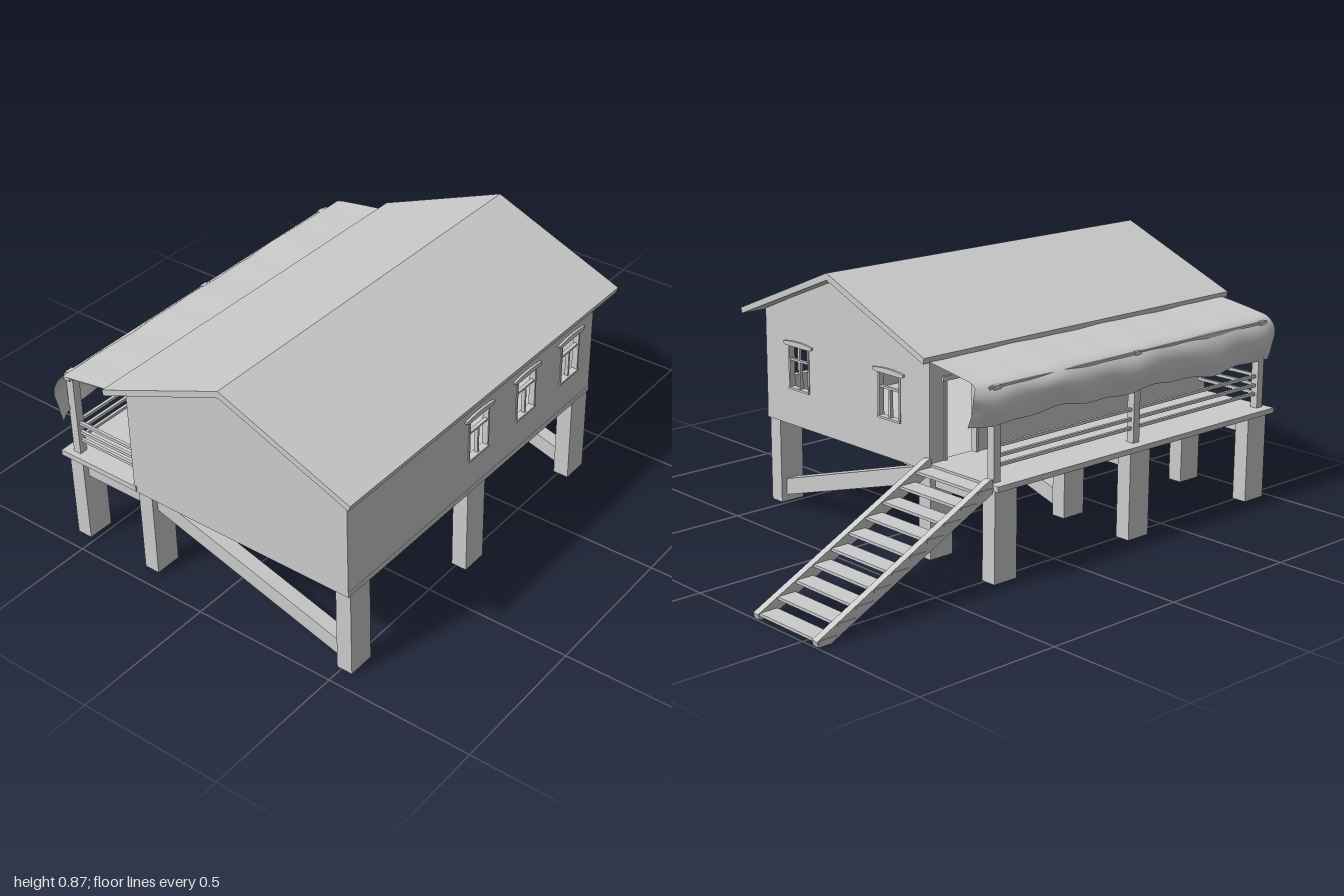
import * as THREE from 'three';

const mat = new THREE.MeshStandardMaterial({ color: 0xcccccc, side: THREE.DoubleSide });

function add(parent, name, geo, x = 0, y = 0, z = 0) {
  const m = new THREE.Mesh(geo, mat);
  m.name = name;
  m.position.set(x, y, z);
  parent.add(m);
  return m;
}

// Box given by its min and max on each axis
function span(parent, name, x0, x1, y0, y1, z0, z1) {
  return add(parent, name, new THREE.BoxGeometry(x1 - x0, y1 - y0, z1 - z0),
    (x0 + x1) / 2, (y0 + y1) / 2, (z0 + z1) / 2);
}

function polygon(points) {
  return new THREE.Shape(points.map(p => new THREE.Vector2(...p)));
}

function extrude(shape, depth) {
  return new THREE.ExtrudeGeometry(shape, { depth, bevelEnabled: false, curveSegments: 6 });
}

// Outline in (-z, y), extruded along +x from x0 to x1
function sideExtrude(parent, name, points, x0, x1, holes = []) {
  const shape = polygon(points.map(([z, y]) => [-z, y]));
  shape.holes.push(...holes);
  const m = add(parent, name, extrude(shape, x1 - x0), x0, 0, 0);
  m.rotation.y = Math.PI / 2;
  return m;
}

function hole(cx, y0, w, h) {
  return polygon([[cx - w / 2, y0], [cx - w / 2, y0 + h], [cx + w / 2, y0 + h], [cx + w / 2, y0]]);
}

const X0 = -0.955, X1 = 0.33, Z0 = -0.283, Z1 = 0.542, FLOOR = 0.31;
const WIN_W = 0.108, WIN_H = 0.155, WIN_Y = 0.43, WALL = 0.018;

// Open casement with frame, transom, mullion and curved-end lintel
function makeWindow(parent, x, z, turn) {
  const g = new THREE.Group();
  g.name = 'window';
  const w = WIN_W / 2, h = WIN_H, t = 0.007;
  span(g, 'frameSide', -w, -w + t, 0, h, -WALL, 0.003);
  span(g, 'frameSide', w - t, w, 0, h, -WALL, 0.003);
  span(g, 'sill', -w, w, 0, t, -WALL, 0.006);
  span(g, 'frameTop', -w, w, h - t, h, -WALL, 0.003);
  span(g, 'transom', -w, w, 0.098, 0.105, -0.012, 0);
  span(g, 'mullion', -0.004, 0.004, 0, 0.1, -0.012, 0);
  const s = new THREE.Shape();
  s.moveTo(-0.058, h - 0.006);
  s.lineTo(0.058, h - 0.006);
  s.quadraticCurveTo(0.076, h - 0.006, 0.074, h + 0.006);
  s.quadraticCurveTo(0, h + 0.018, -0.074, h + 0.006);
  s.quadraticCurveTo(-0.076, h - 0.006, -0.058, h - 0.006);
  add(g, 'lintel', extrude(s, 0.008));
  g.position.set(x, WIN_Y, z);
  g.rotation.y = turn;
  parent.add(g);
}

function makeHouse() {
  const g = new THREE.Group();
  g.name = 'house';
  const frontX = [-0.312, -0.055, 0.197], sideZ = [0.364, -0.094];
  const eave = 0.682, peak = 0.855, ridgeZ = 0.128;
  const wallShape = () => polygon([[X0, FLOOR], [X1, FLOOR], [X1, eave], [X0, eave]]);

  const front = wallShape();
  frontX.forEach(x => front.holes.push(hole(x, WIN_Y, WIN_W, WIN_H)));
  add(g, 'frontWall', extrude(front, WALL), 0, 0, Z1 - WALL);

  const back = wallShape();
  back.holes.push(hole(-0.312, WIN_Y, WIN_W, WIN_H), hole(0.2, 0.33, 0.13, 0.255));
  add(g, 'backWall', extrude(back, WALL), 0, 0, Z0);

  const gable = [[Z1, FLOOR], [Z0, FLOOR], [Z0, eave], [ridgeZ, peak], [Z1, eave]];
  sideExtrude(g, 'rightGable', gable, X1 - WALL, X1, sideZ.map(z => hole(-z, WIN_Y, WIN_W, WIN_H)));
  sideExtrude(g, 'leftGable', gable, X0, X0 + WALL);
  span(g, 'floor', X0, X1, FLOOR - 0.004, FLOOR + 0.015, Z0, Z1 + 0.001);

  frontX.forEach(x => makeWindow(g, x, Z1, 0));
  sideZ.forEach(z => makeWindow(g, X1, z, Math.PI / 2));
  makeWindow(g, -0.312, Z0, Math.PI);

  // Door frame on the veranda side
  for (const x of [0.129, 0.261]) span(g, 'doorJamb', x, x + 0.01, 0.33, 0.585, Z0 - 0.006, Z0 + WALL);
  span(g, 'doorLintel', 0.12, 0.28, 0.585, 0.6, Z0 - 0.008, Z0 + WALL);

  // Gabled roof as one folded slab
  sideExtrude(g, 'roof', [[0.589, 0.686], [0.584, 0.667], [ridgeZ, 0.851],
    [-0.331, 0.667], [-0.334, 0.686], [ridgeZ, 0.874]], -1, 0.397);
  return g;
}

function makeStilts() {
  const g = new THREE.Group();
  g.name = 'stilts';
  [-0.903, -0.32, 0.272].forEach((x, i) => {
    for (const z of [0.518, -0.245, -0.536])
      span(g, 'stilt', x - 0.046, x + 0.046, 0.01, FLOOR, z - 0.027, z + 0.027);
    span(g, 'verandaBeam', x - 0.025, x + 0.025, 0.245, 0.305, -0.515, -0.265);
    // Diagonal braces, the middle one leaning the other way
    const lo = 0.03, hi = 0.248, a = i === 1 ? hi : lo, b = i === 1 ? lo : hi;
    sideExtrude(g, 'brace', [[0.5, a], [-0.225, b], [-0.225, b + 0.057], [0.5, a + 0.057]], x - 0.025, x + 0.025);
  });
  return g;
}

// Cloth awning: a cross-section swept along x, flared and rippled at its hanging edge
function makeAwning() {
  const profile = new THREE.CatmullRomCurve3([[-0.28, 0.678], [-0.38, 0.664], [-0.47, 0.65], [-0.535, 0.635],
    [-0.562, 0.602], [-0.568, 0.555], [-0.558, 0.505]].map(([z, y]) => new THREE.Vector3(0, y, z)));
  const geo = new THREE.PlaneGeometry(1, 1, 70, 28);
  const p = geo.attributes.position;
  for (let i = 0; i < p.count; i++) {
    const u = p.getX(i) + 0.5, v = 0.5 - p.getY(i);
    const c = profile.getPoint(v);
    const drape = THREE.MathUtils.smoothstep(v, 0.45, 0.85);
    const end = Math.pow(Math.abs(2 * u - 1), 14);
    const flare = 0.01 + 0.022 * Math.sin(Math.PI * Math.min(1, drape * 0.75));
    const x = THREE.MathUtils.lerp(-0.965 - flare, 0.365 + flare, u);
    const ripple = Math.sin(u * 19) * 0.005 + Math.sin(u * 43 + 1) * 0.003;
    const y = c.y + ripple * (0.3 + drape) - end * drape * 0.012 + (u - 0.5) * 0.03 * drape;
    const z = c.z + Math.sin(u * 27 + v * 5) * 0.004 * drape + end * drape * 0.035 * v;
    p.setXYZ(i, x, y, z);
  }
  geo.computeVertexNormals();
  const m = new THREE.Mesh(geo, mat);
  m.name = 'clothAwning';
  return m;
}

function makeVeranda() {
  const g = new THREE.Group();
  g.name = 'veranda';
  span(g, 'deck', -0.96, X1, 0.312, 0.33, -0.588, Z0 + 0.01);
  const postX = [-0.925, -0.31, 0.3];
  for (const x of postX) {
    span(g, 'awningPost', x - 0.014, x + 0.014, 0.33, 0.63, -0.553, -0.525);
    sideExtrude(g, 'rafter', [[Z0, 0.648], [-0.55, 0.603], [-0.55, 0.625], [Z0, 0.67]], x - 0.012, x + 0.012);
  }
  span(g, 'awningBeam', -0.95, 0.33, 0.607, 0.628, -0.55, -0.528);
  for (const y of [0.378, 0.408, 0.44]) {
    span(g, 'backRail', postX[0], postX[2], y - 0.005, y + 0.005, -0.544, -0.534);
    span(g, 'endRail', postX[0] - 0.005, postX[0] + 0.005, y - 0.005, y + 0.005, -0.54, Z0);
  }
  g.add(makeAwning());
  return g;
}

function makeStairs() {
  const g = new THREE.Group();
  g.name = 'stairs';
  const stringer = polygon([[X1, 0.305], [0.95, 0], [0.995, 0], [1, 0.018], [0.345, 0.348], [X1, 0.348]]);
  for (const z of [-0.292, -0.567]) add(g, 'stringer', extrude(stringer, 0.024), 0, 0, z);
  const count = 10;
  for (let i = 0; i < count; i++) {
    const t = i / (count - 1);
    add(g, 'tread', new THREE.BoxGeometry(0.064, 0.009, 0.304),
      THREE.MathUtils.lerp(0.36, 0.962, t), THREE.MathUtils.lerp(0.318, 0.016, t), -0.4175);
  }
  return g;
}

export function createModel() {
  const model = new THREE.Group();
  model.name = 'stiltHouse';
  model.add(makeHouse(), makeStilts(), makeVeranda(), makeStairs());
  return model;
}
